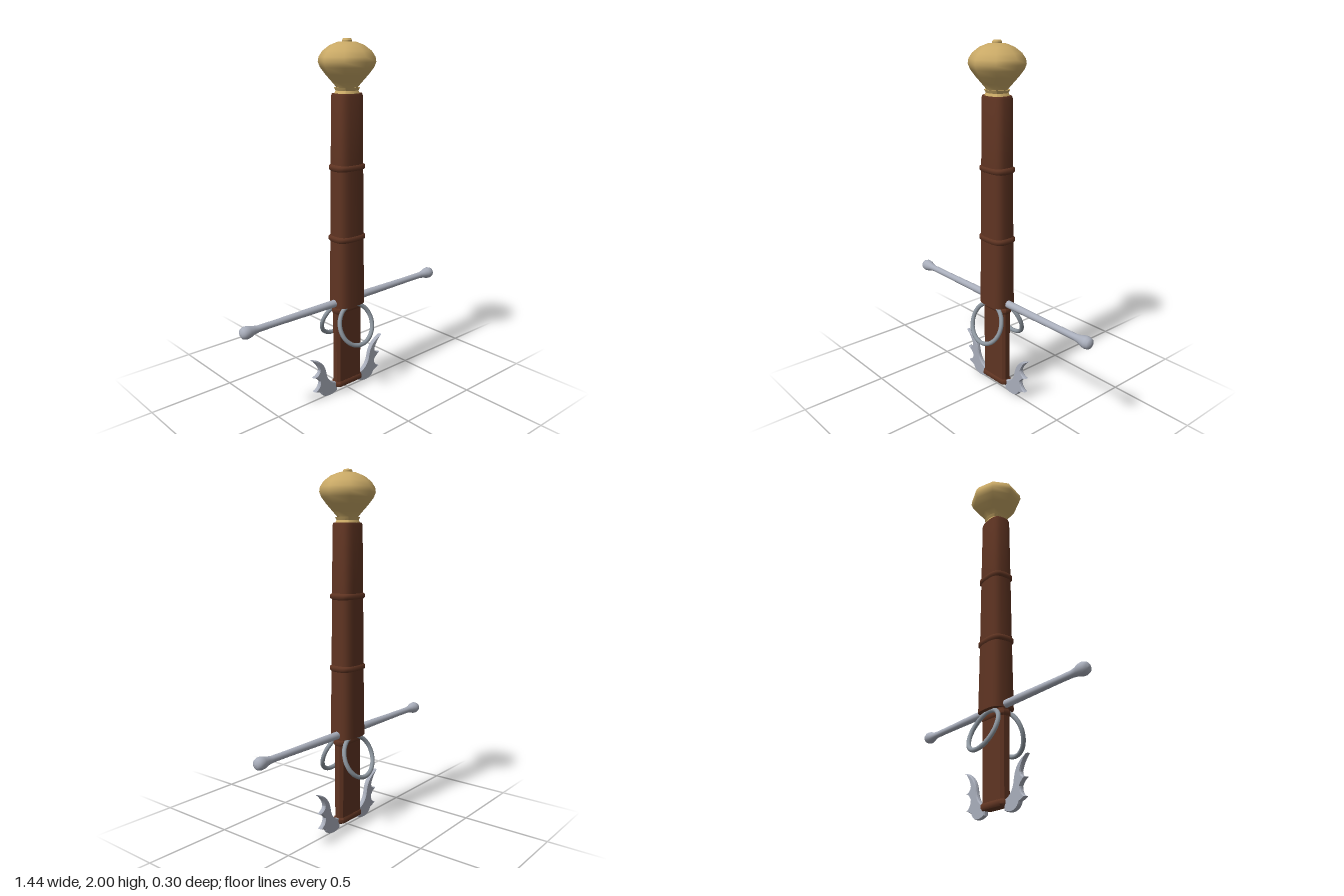
import * as THREE from 'three';
import { toCreasedNormals } from 'three/addons/utils/BufferGeometryUtils.js';

const mat = (name, color) => new THREE.MeshStandardMaterial({ name, color });

// Closed loft through horizontal outlines: rows of [y, halfWidth, halfDepth]
function loft(rows, outline, crease = 0.6) {
  const n = outline.length, pos = [], idx = [];
  for (const [y, hx, hz] of rows) for (const [u, v] of outline) pos.push(u * hx, y, v * hz);
  for (let r = 0; r < rows.length - 1; r++) {
    for (let i = 0; i < n; i++) {
      const a = r * n + i, b = r * n + (i + 1) % n;
      idx.push(a, a + n, b, b, a + n, b + n);
    }
  }
  const last = rows.length - 1, bottom = pos.length / 3, top = bottom + 1;
  pos.push(0, rows[0][0], 0, 0, rows[last][0], 0);
  for (let i = 0; i < n; i++) {
    const j = (i + 1) % n;
    idx.push(bottom, i, j, top, last * n + j, last * n + i);
  }
  const g = new THREE.BufferGeometry();
  g.setAttribute('position', new THREE.Float32BufferAttribute(pos, 3));
  g.setIndex(idx);
  return toCreasedNormals(g, crease);
}

// Rounded-rectangle outline, counter-clockwise in (x, z)
function roundedOutline(power, count) {
  return Array.from({ length: count }, (_, i) => {
    const a = (i / count) * Math.PI * 2, c = Math.cos(a), s = Math.sin(a);
    return [Math.sign(c) * Math.abs(c) ** (2 / power), Math.sign(s) * Math.abs(s) ** (2 / power)];
  });
}

const lathe = (points, sides) =>
  new THREE.LatheGeometry(points.map(([r, y]) => new THREE.Vector2(r, y)), sides);

export function createModel() {
  const model = new THREE.Group();
  model.name = 'swordHilt';
  const leather = mat('brown leather', 0x5f3422);
  const gold = mat('gold', 0xc9a966);
  const steel = mat('steel', 0xa9aebb);
  const darkSteel = mat('dark steel', 0x8d969f);
  const add = (name, geometry, material) => {
    const mesh = new THREE.Mesh(geometry, material);
    mesh.name = name;
    model.add(mesh);
    return mesh;
  };

  // Tapered grip
  const round = roundedOutline(3.2, 32);
  add('grip', loft([
    [0.54, 0.096, 0.075], [0.935, 0.091, 0.069], [1.33, 0.087, 0.066],
    [1.71, 0.083, 0.062], [1.722, 0.079, 0.058],
  ], round), leather);

  // Raised bands on the grip
  for (const [y, hx, hz] of [[0.935, 0.1, 0.076], [1.33, 0.097, 0.073]]) {
    add('gripBand', loft([
      [y - 0.018, hx - 0.01, hz - 0.01], [y - 0.009, hx, hz],
      [y + 0.009, hx, hz], [y + 0.018, hx - 0.01, hz - 0.01],
    ], round, 1), leather);
  }

  // Flat chamfered sleeve below the guard, with a lip at each end
  const flat = [[1, -0.5], [1, 0.5], [0.84, 1], [-0.84, 1], [-1, 0.5], [-1, -0.5], [-0.84, -1], [0.84, -1]];
  add('bladeSleeve', loft([[0.04, 0.092, 0.029], [0.55, 0.092, 0.031]], flat), leather);
  for (const y of [0.057, 0.515]) {
    add('sleeveLip', loft([
      [y - 0.017, 0.093, 0.03], [y - 0.008, 0.098, 0.036],
      [y + 0.008, 0.098, 0.036], [y + 0.017, 0.093, 0.03],
    ], flat), leather);
  }

  // Eight-sided pommel, collar and cap button
  add('pommel', lathe([
    [0, 1.735], [0.056, 1.735], [0.06, 1.755], [0.087, 1.785], [0.119, 1.82], [0.146, 1.855],
    [0.157, 1.882], [0.153, 1.908], [0.132, 1.938], [0.094, 1.966], [0.05, 1.983], [0, 1.987],
  ], 8), gold).scale.z = 0.94;
  add('pommelCollar', loft([
    [1.705, 0.056, 0.05], [1.722, 0.066, 0.059], [1.736, 0.058, 0.053], [1.752, 0.066, 0.061],
  ], roundedOutline(2.6, 16), 0.4), gold);
  add('pommelButton', toCreasedNormals(lathe([
    [0, 1.975], [0.026, 1.975], [0.026, 1.992], [0.02, 2], [0, 2],
  ], 16), 0.6), gold);

  // Crossguard bar with swollen ends
  const half = [[0.022, 0], [0.021, 0.2], [0.018, 0.5], [0.0185, 0.61], [0.023, 0.64],
    [0.032, 0.668], [0.034, 0.69], [0.028, 0.708], [0.015, 0.716], [0, 0.718]];
  const bar = [...half.slice(1).reverse().map(([r, y]) => [r, -y]), ...half];
  const guard = add('crossguard', lathe(bar, 20), steel);
  guard.rotation.z = Math.PI / 2;
  guard.position.y = 0.56;

  // Side rings leaning out from the guard, front and back
  for (const side of [1, -1]) {
    const ring = add(side > 0 ? 'frontRing' : 'backRing', new THREE.TorusGeometry(0.118, 0.0125, 10, 40), darkSteel);
    ring.position.set(0, 0.43, side * 0.079);
    ring.rotation.x = -side * 0.38;
  }

  // Flame-shaped lugs, mirrored left and right
  for (const side of [1, -1]) {
    const s = new THREE.Shape();
    s.moveTo(side * 0.085, 0.018);
    const curve = (cx, cy, x, y) => s.quadraticCurveTo(side * cx, cy, side * x, y);
    curve(0.12, 0.002, 0.145, 0.004);
    curve(0.19, 0.006, 0.205, 0.042);
    curve(0.225, 0.05, 0.252, 0.062);
    curve(0.212, 0.078, 0.212, 0.115);
    curve(0.23, 0.142, 0.258, 0.152);
    curve(0.218, 0.158, 0.214, 0.185);
    curve(0.225, 0.225, 0.27, 0.264);
    curve(0.18, 0.24, 0.165, 0.16);
    curve(0.155, 0.085, 0.085, 0.07);
    s.closePath();
    const g = new THREE.ExtrudeGeometry(s, {
      depth: 0.012, curveSegments: 8, bevelEnabled: true,
      bevelThickness: 0.007, bevelSize: 0.004, bevelOffset: -0.004, bevelSegments: 1,
    });
    g.translate(0, 0, -0.006);
    add(side > 0 ? 'leftLug' : 'rightLug', toCreasedNormals(g, 0.5), steel);
  }

  return model;
}
